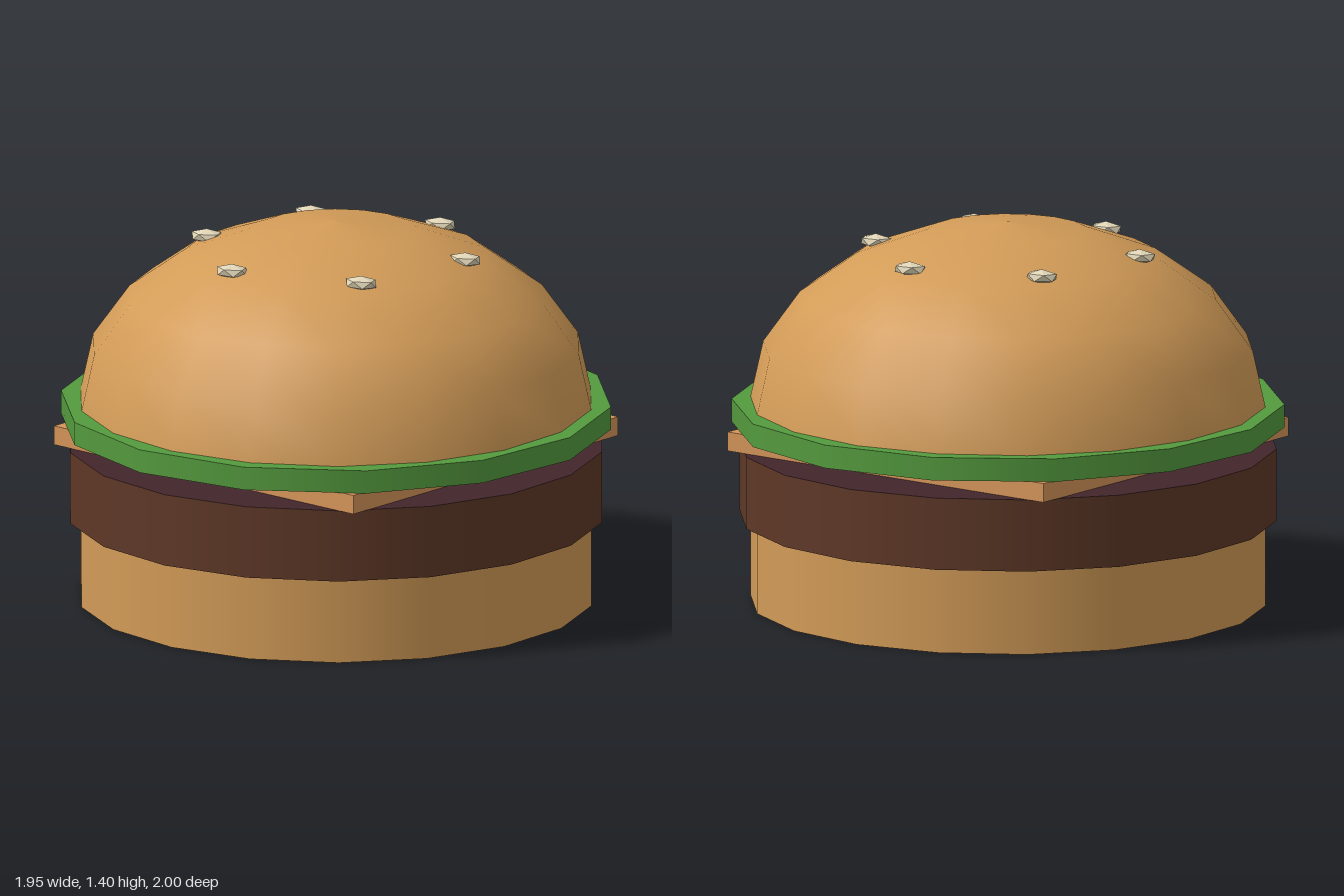
import * as THREE from 'three';

const paint = (name, color) => {
  const material = new THREE.MeshStandardMaterial({ color });
  material.name = name;
  return material;
};

export function createModel() {
  const bun = paint('toasted bun', 0xd29b57);
  const pattySide = paint('patty brown', 0x5e3827);
  const pattyFace = paint('dark patty face', 0x42262c);
  const cheeseColor = paint('cheese orange', 0xd6955a);
  const green = paint('lettuce green', 0x549a3e);
  const cream = paint('sesame cream', 0xe0d5b6);

  const burger = new THREE.Group();
  burger.name = 'burger';

  const add = (name, geometry, material) => {
    const mesh = new THREE.Mesh(geometry, material);
    mesh.name = name;
    burger.add(mesh);
    return mesh;
  };

  // Flat round layer between two heights
  const layer = (name, radius, bottom, top, sides, material) => {
    const geometry = new THREE.CylinderGeometry(radius, radius, top - bottom, sides);
    add(name, geometry, material).position.y = (bottom + top) / 2;
  };

  layer('bottomBun', 0.935, 0, 0.315, 18, bun);
  layer('patty', 0.975, 0.315, 0.58, 18, [pattySide, pattyFace, pattyFace]);
  layer('lettuce', 1, 0.65, 0.735, 14, green);

  // Square cheese slice, turned so its corners poke out
  const cheese = add('cheese', new THREE.BoxGeometry(1.445, 0.07, 1.445), cheeseColor);
  cheese.position.y = 0.615;
  cheese.rotation.y = -0.385;

  // Domed top bun: quarter-ellipse profile with five steps
  const profile = [];
  for (let i = 0; i <= 5; i++) {
    const a = (i / 5) * Math.PI / 2;
    profile.push(new THREE.Vector2(i === 5 ? 0 : 0.935 * Math.cos(a), 0.735 + 0.665 * Math.sin(a)));
  }
  add('topBun', new THREE.LatheGeometry(profile, 18), bun);

  // Ring of faceted sesame seeds
  const seedShape = new THREE.IcosahedronGeometry(1, 0).toNonIndexed();
  seedShape.rotateZ(0.55);
  seedShape.scale(0.064, 0.027, 0.043);
  seedShape.computeVertexNormals();
  for (let i = 0; i < 6; i++) {
    const a = (i / 6) * Math.PI * 2;
    const seed = add('sesameSeed' + (i + 1), seedShape, cream);
    seed.position.set(0.495 * Math.cos(a), 1.3, 0.495 * Math.sin(a));
  }

  return burger;
}
